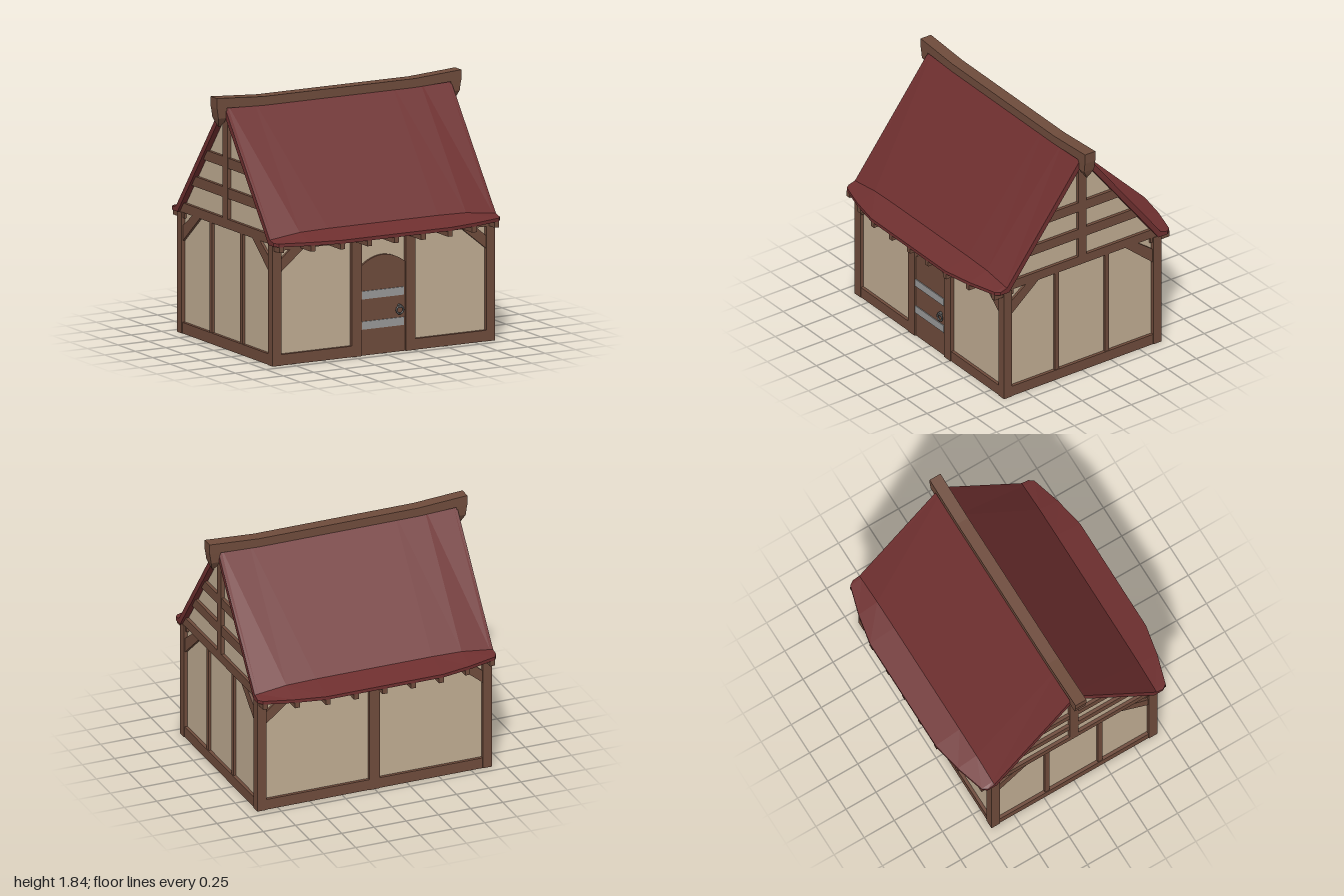
import * as THREE from 'three';

const mat = (name, color) => {
  const m = new THREE.MeshStandardMaterial({ color });
  m.name = name;
  return m;
};

// Skin consecutive rings (lists of [x, y, z]) into a closed, flat-faced solid.
function loft(rings) {
  const n = rings[0].length, idx = [];
  for (let r = 0; r < rings.length - 1; r++) {
    for (let i = 0; i < n; i++) {
      const a = r * n + i, b = r * n + (i + 1) % n;
      idx.push(a, b, b + n, a, b + n, a + n);
    }
  }
  const last = (rings.length - 1) * n;
  for (let i = 0; i < n / 2 - 1; i++) {
    const q = [i, i + 1, n - 2 - i, n - 1 - i];
    idx.push(q[0], q[2], q[1], q[0], q[3], q[2]);
    idx.push(last + q[0], last + q[1], last + q[2], last + q[0], last + q[2], last + q[3]);
  }
  const g = new THREE.BufferGeometry();
  g.setAttribute('position', new THREE.Float32BufferAttribute(rings.flat(2), 3));
  g.setIndex(idx);
  const flat = g.toNonIndexed();
  flat.computeVertexNormals();
  return flat;
}

export function createModel() {
  const model = new THREE.Group();
  model.name = 'cottage';
  const wood = mat('timber brown', 0x6e4b3b);
  const plaster = mat('cream plaster', 0xc0ac92);
  const red = mat('dark red roof', 0x6e2f2f);
  const iron = mat('pale iron', 0x999999);
  const darkIron = mat('dark iron', 0x555555);

  const add = (parent, name, geo, material, x = 0, y = 0, z = 0) => {
    const m = new THREE.Mesh(geo, material);
    m.name = name;
    m.position.set(x, y, z);
    parent.add(m);
    return m;
  };
  // Box given by its x and y ranges, centred on depth z.
  const bar = (parent, name, x0, x1, y0, y1, z, depth, material = wood) =>
    add(parent, name, new THREE.BoxGeometry(x1 - x0, y1 - y0, depth), material, (x0 + x1) / 2, (y0 + y1) / 2, z);
  // Extruded outline centred on depth z.
  const slab = (parent, name, outline, z, depth, material = wood) => {
    const shape = Array.isArray(outline) ? new THREE.Shape(outline.map(p => new THREE.Vector2(...p))) : outline;
    const geo = new THREE.ExtrudeGeometry(shape, { depth, bevelEnabled: false, curveSegments: 12 });
    return add(parent, name, geo, material, 0, 0, z - depth / 2);
  };
  const wall = (name, angle) => {
    const g = new THREE.Group();
    g.name = name;
    g.rotation.y = angle;
    model.add(g);
    return g;
  };
  const Z = 0.655, X = 0.875; // wall centre planes

  // Corner posts
  for (const sx of [-1, 1]) for (const sz of [-1, 1]) {
    add(model, 'cornerPost', new THREE.BoxGeometry(0.07, 0.88, 0.07), wood, sx * X, 0.44, sz * Z);
  }

  // Long walls: sill, top plate and corner braces
  const front = wall('frontWall', 0), back = wall('backWall', Math.PI);
  for (const w of [front, back]) {
    bar(w, 'topPlate', -0.85, 0.85, 0.835, 0.88, Z, 0.06);
    for (const s of [-1, 1]) {
      slab(w, 'brace', [[0.845, 0.672], [0.845, 0.765], [0.755, 0.84], [0.64, 0.84]].map(([x, y]) => [s * x, y]), Z, 0.05);
    }
  }
  bar(back, 'plasterPanel', -0.87, 0.87, 0.01, 0.88, Z, 0.012, plaster);
  bar(back, 'sill', -0.85, 0.85, 0, 0.08, Z, 0.06);
  bar(back, 'middlePost', -0.04, 0.04, 0, 0.88, Z, 0.07);
  for (const s of [-1, 1]) {
    bar(front, 'doorPost', s * 0.22 - 0.04, s * 0.22 + 0.04, 0, 0.88, Z, 0.07);
    bar(front, 'sill', s * 0.545 - 0.305, s * 0.545 + 0.305, 0, 0.08, Z, 0.06);
  }

  // Front plaster with an arched opening
  const frontShape = new THREE.Shape();
  frontShape.moveTo(-0.87, 0.01).lineTo(-0.18, 0.01).lineTo(-0.18, 0.645);
  frontShape.quadraticCurveTo(0, 0.785, 0.18, 0.645);
  frontShape.lineTo(0.18, 0.01).lineTo(0.87, 0.01).lineTo(0.87, 0.88).lineTo(-0.87, 0.88);
  slab(front, 'plasterPanel', frontShape, Z, 0.012, plaster);

  // Arched door with iron straps and a ring handle
  const doorShape = new THREE.Shape();
  doorShape.moveTo(-0.182, 0).lineTo(0.182, 0).lineTo(0.182, 0.65);
  doorShape.quadraticCurveTo(0, 0.79, -0.182, 0.65);
  slab(front, 'door', doorShape, Z, 0.046);
  for (const y of [0.19, 0.41]) bar(front, 'doorStrap', -0.178, 0.168, y, y + 0.058, 0.681, 0.008, iron);
  add(front, 'handleRing', new THREE.TorusGeometry(0.028, 0.007, 8, 16), darkIron, 0.13, 0.305, 0.692);
  const knob = add(front, 'handleKnob', new THREE.CylinderGeometry(0.014, 0.014, 0.024, 10), darkIron, 0.13, 0.333, 0.688);
  knob.rotation.x = Math.PI / 2;

  // Gable walls: studs, braces, tie beam and gable beams
  const halfAt = y => (1.735 - y) / 1.306;
  for (const [name, angle] of [['leftGableWall', Math.PI / 2], ['rightGableWall', -Math.PI / 2]]) {
    const w = wall(name, angle);
    slab(w, 'plasterPanel', [[-0.65, 0.01], [0.65, 0.01], [0.65, 0.885], [0, 1.735], [-0.65, 0.885]], X, 0.012, plaster);
    bar(w, 'sill', -0.63, 0.63, 0, 0.08, X, 0.06);
    for (const s of [-1, 1]) {
      bar(w, 'stud', s * 0.22 - 0.018, s * 0.22 + 0.018, 0.07, 0.89, X, 0.05);
      slab(w, 'brace', [[0.63, 0.665], [0.63, 0.775], [0.48, 0.885], [0.37, 0.885]].map(([x, y]) => [s * x, y]), X, 0.05);
    }
    for (const [beam, y0, y1] of [['tieBeam', 0.88, 0.95], ['gableBeam', 1.1, 1.175], ['gableBeam', 1.32, 1.395]]) {
      const a = halfAt(y0), b = halfAt(y1);
      slab(w, beam, [[-a, y0], [a, y0], [b, y1], [-b, y1]], X, 0.06);
    }
    bar(w, 'kingPost', -0.036, 0.036, 0.95, 1.72, X, 0.064);
  }

  // Roof halves with a flared eave that bows outward in the middle
  const stations = [[0.925, 0.73, 0.92], [0.9, 0.765, 0.923], [0.68, 0.83, 0.95], [0.45, 0.875, 0.955]];
  const ring = (x, eave, crease) => [
    [x, 1.8, 0], [x, crease, 0.675], [x, 0.905, eave],
    [x, 0.88, eave], [x, 0.88, 0.655], [x, 1.735, 0],
  ];
  const roofRings = [
    ...stations.map(([x, e, c]) => ring(-x, e, c)),
    ...[...stations].reverse().map(([x, e, c]) => ring(x, e, c)),
  ];
  const roofGeo = loft(roofRings);
  for (const [side, angle] of [['front', 0], ['back', Math.PI]]) {
    const g = wall(side + 'Roof', angle);
    add(g, 'roofSlope', roofGeo, red);
    // Rafter ends following the bowed eave
    for (let i = -4; i <= 4; i++) {
      const end = [0.872, 0.872, 0.872, 0.832, 0.767][Math.abs(i)];
      add(g, 'rafterEnd', new THREE.BoxGeometry(0.038, 0.045, end - 0.6), wood, i * 0.22, 0.8605, (end + 0.6) / 2);
    }
  }

  // Ridge beam, lifted toward both ends
  const ridge = [[-1, 1.84, 1.765], [-0.62, 1.815, 1.75], [0.62, 1.815, 1.75], [1, 1.84, 1.765]];
  add(model, 'ridgeBeam', loft(ridge.map(([x, t, b]) =>
    [[x, t, -0.045], [x, t, 0.045], [x, b, 0.045], [x, b, -0.045]])), wood);

  // Pointed ridge ends
  const horn = [[1.62, 0.95, 0.96, 0.003], [1.655, 0.928, 0.976, 0.024], [1.69, 0.922, 0.987, 0.044], [1.78, 0.915, 1, 0.045]];
  const hornGeo = loft(horn.map(([y, x0, x1, z]) => [[x1, y, z], [x1, y, -z], [x0, y, -z], [x0, y, z]]));
  for (const angle of [0, Math.PI]) add(model, 'ridgeEnd', hornGeo, wood).rotation.y = angle;

  return model;
}
